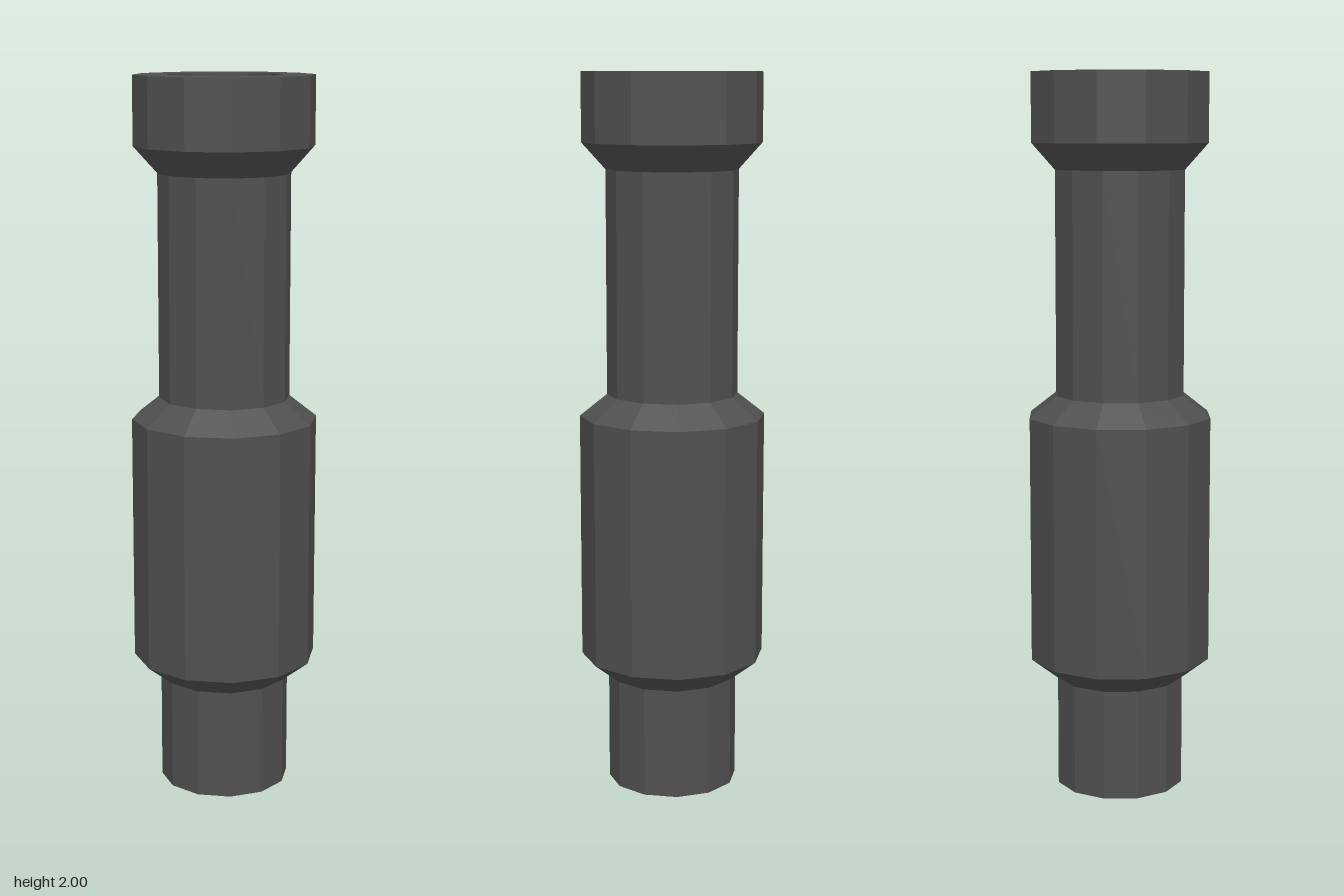
import * as THREE from 'three';

const SIDES = 12;

export function createModel() {
  const group = new THREE.Group();
  group.name = 'steppedTube';
  const material = new THREE.MeshStandardMaterial({
    color: 0x505050, flatShading: true, side: THREE.DoubleSide,
  });

  // Each part is a faceted ring profile of [radius, height], ordered upward on the outside
  const addPart = (name, profile) => {
    const points = profile.map(([r, y]) => new THREE.Vector2(r, y));
    const mesh = new THREE.Mesh(new THREE.LatheGeometry(points, SIDES), material);
    mesh.name = name;
    group.add(mesh);
  };

  const shaft = 0.182, sleeve = 0.258, collar = 0.247, bore = 0.157;

  // Thin lower tube, open at the bottom
  addPart('lowerTube', [[shaft, 0], [shaft, 0.312]]);

  // Wide middle sleeve with chamfered ends
  addPart('sleeve', [[shaft, 0.312], [sleeve, 0.372], [sleeve, 1.062], [shaft, 1.122]]);

  // Upper shaft
  addPart('upperTube', [[shaft, 1.122], [shaft, 1.74]]);

  // Collar with a flat rim and a closed bore
  addPart('collar', [
    [shaft, 1.74], [collar, 1.812], [collar, 2], [bore, 2], [bore, 1.76], [0, 1.76],
  ]);

  return group;
}
